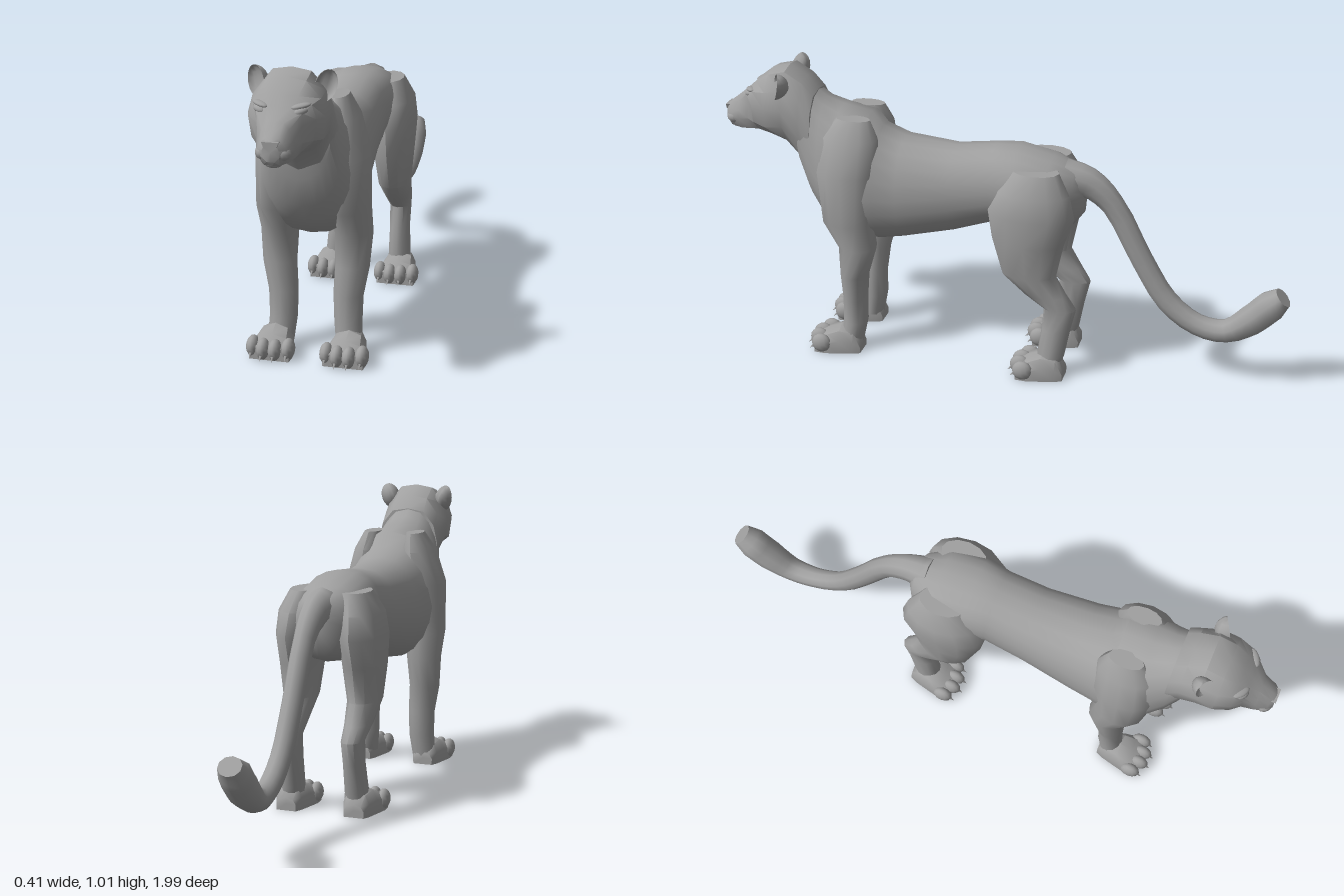
import * as THREE from 'three';
import { toCreasedNormals } from 'three/addons/utils/BufferGeometryUtils.js';

const coat = new THREE.MeshStandardMaterial({ color: 0xa0a0a0 });
coat.name = 'grey coat';

// Skin a list of closed rings (arrays of [x, y, z]), capping both ends
function loft(rings, crease = 0.8) {
  const n = rings[0].length, pos = rings.flat(2), idx = [];
  for (let i = 0; i < rings.length - 1; i++)
    for (let j = 0; j < n; j++) {
      const a = i * n + j, b = i * n + (j + 1) % n;
      idx.push(a, b, a + n, b, b + n, a + n);
    }
  [0, rings.length - 1].forEach((r, end) => {
    const c = pos.length / 3;
    for (let k = 0; k < 3; k++) pos.push(rings[r].reduce((s, p) => s + p[k], 0) / n);
    for (let j = 0; j < n; j++) {
      const a = r * n + j, b = r * n + (j + 1) % n;
      idx.push(...(end ? [a, b, c] : [b, a, c]));
    }
  });
  // Turn the faces outwards if the enclosed volume is negative
  let volume = 0;
  const at = (i) => new THREE.Vector3().fromArray(pos, i * 3);
  for (let i = 0; i < idx.length; i += 3) volume += at(idx[i]).dot(at(idx[i + 1]).cross(at(idx[i + 2])));
  if (volume < 0) idx.reverse();
  const g = new THREE.BufferGeometry();
  g.setAttribute('position', new THREE.Float32BufferAttribute(pos, 3));
  g.setIndex(idx);
  return toCreasedNormals(g, crease);
}

const loop = (n, fn) => Array.from({ length: n }, (_, j) => fn(Math.sin(j / n * Math.PI * 2), Math.cos(j / n * Math.PI * 2)));

function add(parent, name, geometry, x = 0, y = 0, z = 0) {
  const m = new THREE.Mesh(geometry, coat);
  m.name = name;
  m.position.set(x, y, z);
  parent.add(m);
  return m;
}

function ball(parent, name, x, y, z, sx, sy, sz) {
  const m = add(parent, name, new THREE.SphereGeometry(1, 12, 8), x, y, z);
  m.scale.set(sx, sy, sz);
  return m;
}

// Torso and neck base: z, top, bottom, half width, height of the widest point
const TORSO = [
  [-0.28, 0.72, 0.58, 0.03, 0.65], [-0.25, 0.745, 0.54, 0.08, 0.65], [-0.17, 0.775, 0.51, 0.13, 0.66],
  [-0.05, 0.80, 0.52, 0.135, 0.67], [0.03, 0.795, 0.52, 0.12, 0.66], [0.17, 0.775, 0.47, 0.125, 0.63],
  [0.35, 0.79, 0.425, 0.145, 0.6], [0.43, 0.82, 0.41, 0.155, 0.6], [0.47, 0.868, 0.41, 0.165, 0.6],
  [0.57, 0.885, 0.42, 0.165, 0.6], [0.63, 0.905, 0.48, 0.14, 0.65], [0.67, 0.935, 0.54, 0.122, 0.7],
  [0.71, 0.97, 0.64, 0.105, 0.8],
];

// Head: z, then half profile from crown to throat as x, y pairs
const HEAD = [
  [0.66, 0, 0.93, 0.06, 0.92, 0.10, 0.87, 0.115, 0.80, 0.11, 0.72, 0.07, 0.62, 0, 0.58],
  [0.70, 0, 0.975, 0.06, 0.965, 0.10, 0.91, 0.115, 0.85, 0.11, 0.78, 0.07, 0.69, 0, 0.66],
  [0.76, 0, 1.01, 0.06, 1.0, 0.105, 0.945, 0.122, 0.88, 0.115, 0.82, 0.07, 0.755, 0, 0.735],
  [0.82, 0, 0.995, 0.06, 0.985, 0.105, 0.935, 0.12, 0.88, 0.11, 0.81, 0.06, 0.77, 0, 0.765],
  [0.87, 0, 0.955, 0.05, 0.952, 0.09, 0.928, 0.105, 0.885, 0.095, 0.82, 0.055, 0.78, 0, 0.77],
  [0.90, 0, 0.925, 0.035, 0.925, 0.07, 0.91, 0.068, 0.87, 0.07, 0.82, 0.05, 0.775, 0, 0.765],
  [0.94, 0, 0.89, 0.025, 0.888, 0.042, 0.87, 0.055, 0.84, 0.06, 0.81, 0.04, 0.77, 0, 0.76],
  [0.98, 0, 0.858, 0.022, 0.855, 0.035, 0.838, 0.045, 0.82, 0.045, 0.80, 0.025, 0.772, 0, 0.765],
  [0.995, 0, 0.845, 0.016, 0.842, 0.02, 0.832, 0.026, 0.82, 0.026, 0.80, 0.012, 0.785, 0, 0.785],
];

// Legs: y, centre x, centre z, half width, half depth
const FRONT_LEG = [
  [0.865, 0.08, 0.51, 0.03, 0.06], [0.80, 0.09, 0.52, 0.058, 0.10], [0.68, 0.108, 0.53, 0.077, 0.11],
  [0.50, 0.115, 0.53, 0.072, 0.09], [0.41, 0.122, 0.495, 0.063, 0.068], [0.30, 0.12, 0.51, 0.057, 0.05],
  [0.20, 0.108, 0.515, 0.05, 0.043], [0.11, 0.108, 0.517, 0.047, 0.044], [0.03, 0.115, 0.53, 0.045, 0.04],
];
const BACK_LEG = [
  [0.75, 0.09, -0.13, 0.05, 0.08], [0.68, 0.105, -0.125, 0.073, 0.125], [0.60, 0.112, -0.12, 0.074, 0.15],
  [0.50, 0.113, -0.11, 0.068, 0.125], [0.38, 0.115, -0.115, 0.055, 0.095], [0.31, 0.115, -0.175, 0.045, 0.075],
  [0.26, 0.112, -0.225, 0.038, 0.056], [0.18, 0.112, -0.212, 0.036, 0.05], [0.08, 0.115, -0.195, 0.04, 0.048],
  [0.03, 0.118, -0.19, 0.04, 0.035],
];

// Paw: z from the ankle, half width, height
const PAW = [[-0.045, 0.035, 0.045], [-0.02, 0.046, 0.085], [0.03, 0.058, 0.095], [0.075, 0.068, 0.075], [0.115, 0.066, 0.05]];

// Tail: y, z, half width, half thickness
const TAIL = [
  [0.70, -0.21, 0.06, 0.07], [0.69, -0.29, 0.045, 0.055], [0.62, -0.375, 0.035, 0.042], [0.43, -0.48, 0.034, 0.04],
  [0.28, -0.575, 0.034, 0.04], [0.205, -0.68, 0.036, 0.038], [0.195, -0.78, 0.042, 0.04],
  [0.25, -0.865, 0.053, 0.054], [0.31, -0.925, 0.054, 0.055], [0.348, -0.965, 0.04, 0.036],
];

function buildTail() {
  const curve = new THREE.CatmullRomCurve3(TAIL.map(([y, z]) => new THREE.Vector3(0, y, z)));
  const steps = 27, rings = [];
  for (let i = 0; i <= steps; i++) {
    const t = i / steps, k = t * (TAIL.length - 1), a = Math.min(Math.floor(k), TAIL.length - 2);
    const mix = (c) => THREE.MathUtils.lerp(TAIL[a][c], TAIL[a + 1][c], k - a);
    const p = curve.getPoint(t), d = curve.getTangent(t);
    rings.push(loop(10, (s, c) => [s * mix(2), p.y - d.z * c * mix(3), p.z + d.y * c * mix(3)]));
  }
  return loft(rings);
}

function buildLeg(parent, name, rows, ankleZ, side) {
  const leg = new THREE.Group();
  leg.name = name;
  parent.add(leg);
  add(leg, 'limb', loft(rows.map(([y, x, z, rx, rz]) => loop(12, (s, c) => [side * (x + s * rx), y, z + c * rz]))));
  const cx = side * 0.122;
  // Flat-soled foot
  add(leg, 'paw', loft(PAW.map(([z, w, h]) =>
    [[-1, 0], [-1, 0.5], [-0.7, 0.85], [0, 1], [0.7, 0.85], [1, 0.5], [1, 0]].map(([u, v]) => [cx + u * w, v * h, ankleZ + z]))));
  // Four toes with claws, the outer pair set back
  for (let i = 0; i < 4; i++) {
    const u = i - 1.5, x = cx + u * 0.039, z = ankleZ + (Math.abs(u) > 1 ? 0.09 : 0.108);
    ball(leg, 'toe', x, 0.036, z, 0.022, 0.035, 0.036);
    const claw = add(leg, 'claw', new THREE.ConeGeometry(0.008, 0.032, 6), x, 0.02, z + 0.033);
    claw.rotation.x = 2.3;
  }
}

// Cupped ear: a ball whose front half is pushed inwards
function earGeometry() {
  const g = new THREE.SphereGeometry(1, 14, 10), p = g.attributes.position;
  for (let i = 0; i < p.count; i++) if (p.getZ(i) > 0) p.setZ(i, -p.getZ(i) * 0.45);
  g.scale(0.034, 0.05, 0.045);
  g.computeVertexNormals();
  return toCreasedNormals(g, 0.9);
}

export function createModel() {
  const cat = new THREE.Group();
  cat.name = 'big cat';

  add(cat, 'torso', loft(TORSO.map(([z, top, bottom, w, mid]) =>
    loop(20, (s, c) => [Math.sign(s) * Math.abs(s) ** 0.85 * w, mid + c * (c > 0 ? top - mid : mid - bottom), z]))));

  const head = new THREE.Group();
  head.name = 'head';
  cat.add(head);
  add(head, 'skull', loft(HEAD.map(([z, ...p]) => {
    const half = [];
    for (let i = 0; i < p.length; i += 2) half.push([p[i], p[i + 1], z]);
    return [...half, ...half.slice(1, -1).reverse().map(([x, y]) => [-x, y, z])];
  }), 0.7));

  // Nose wedge, broad at the top
  const nose = new THREE.Shape([[-0.026, 0.014], [0.026, 0.014], [0.02, -0.002], [0, -0.018], [-0.02, -0.002]]
    .map(([x, y]) => new THREE.Vector2(x, y)));
  add(head, 'nose', new THREE.ExtrudeGeometry(nose, { depth: 0.02, bevelEnabled: false }), 0, 0.832, 0.979);
  ball(head, 'chin', 0, 0.777, 0.962, 0.03, 0.018, 0.025);

  for (const side of [1, -1]) {
    ball(head, 'muzzlePad', side * 0.026, 0.806, 0.965, 0.029, 0.024, 0.028);
    const eye = ball(head, 'eye', side * 0.062, 0.912, 0.891, 0.024, 0.012, 0.014);
    eye.rotation.set(0, side * 0.6, side * 0.2);
    const brow = ball(head, 'brow', side * 0.062, 0.927, 0.884, 0.032, 0.008, 0.015);
    brow.rotation.set(0, side * 0.6, side * 0.12);
    const ear = add(head, 'ear', earGeometry(), side * 0.108, 0.962, 0.775);
    ear.rotation.set(-0.15, side * 0.5, side * -0.3);

    const label = side > 0 ? 'left' : 'right';
    buildLeg(cat, label + 'FrontLeg', FRONT_LEG, 0.535, side);
    buildLeg(cat, label + 'BackLeg', BACK_LEG, -0.2, side);
  }

  add(cat, 'tail', buildTail());
  return cat;
}
